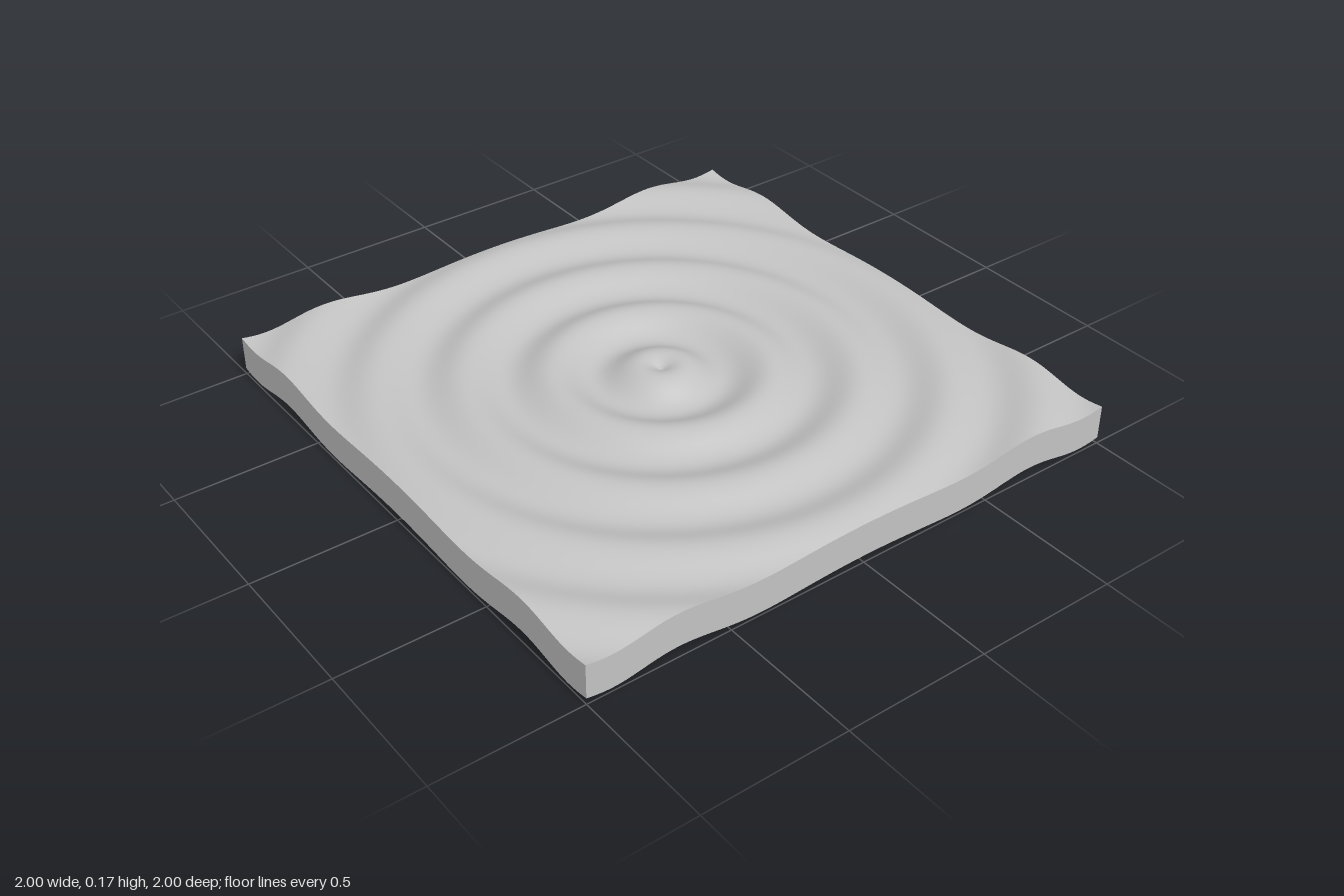
import * as THREE from 'three';

const THICKNESS = 0.12;
const BASE = 0.0255;      // mean height of the underside
const AMPLITUDE = 0.031;
const WAVE = 22;          // seven full ripples across two units

// Circular ripple that fades away from the centre
function ripple(x, z) {
  const r = Math.hypot(x, z);
  return AMPLITUDE * Math.sin(WAVE * r) / (1 + r);
}

export function createModel() {
  const group = new THREE.Group();
  group.name = 'rippledPanel';

  const grey = new THREE.MeshStandardMaterial({ color: 0xc2c2c2 });
  grey.name = 'light grey';

  // Slab of even thickness: top and underside follow the same ripple
  const geometry = new THREE.BoxGeometry(2, THICKNESS, 2, 140, 1, 140);
  geometry.translate(0, THICKNESS / 2 + BASE, 0);
  const p = geometry.attributes.position;
  for (let i = 0; i < p.count; i++) {
    p.setY(i, p.getY(i) + ripple(p.getX(i), p.getZ(i)));
  }
  // Box faces share no vertices, so the rims stay sharp
  geometry.computeVertexNormals();

  const slab = new THREE.Mesh(geometry, grey);
  slab.name = 'rippledSlab';
  group.add(slab);
  return group;
}
